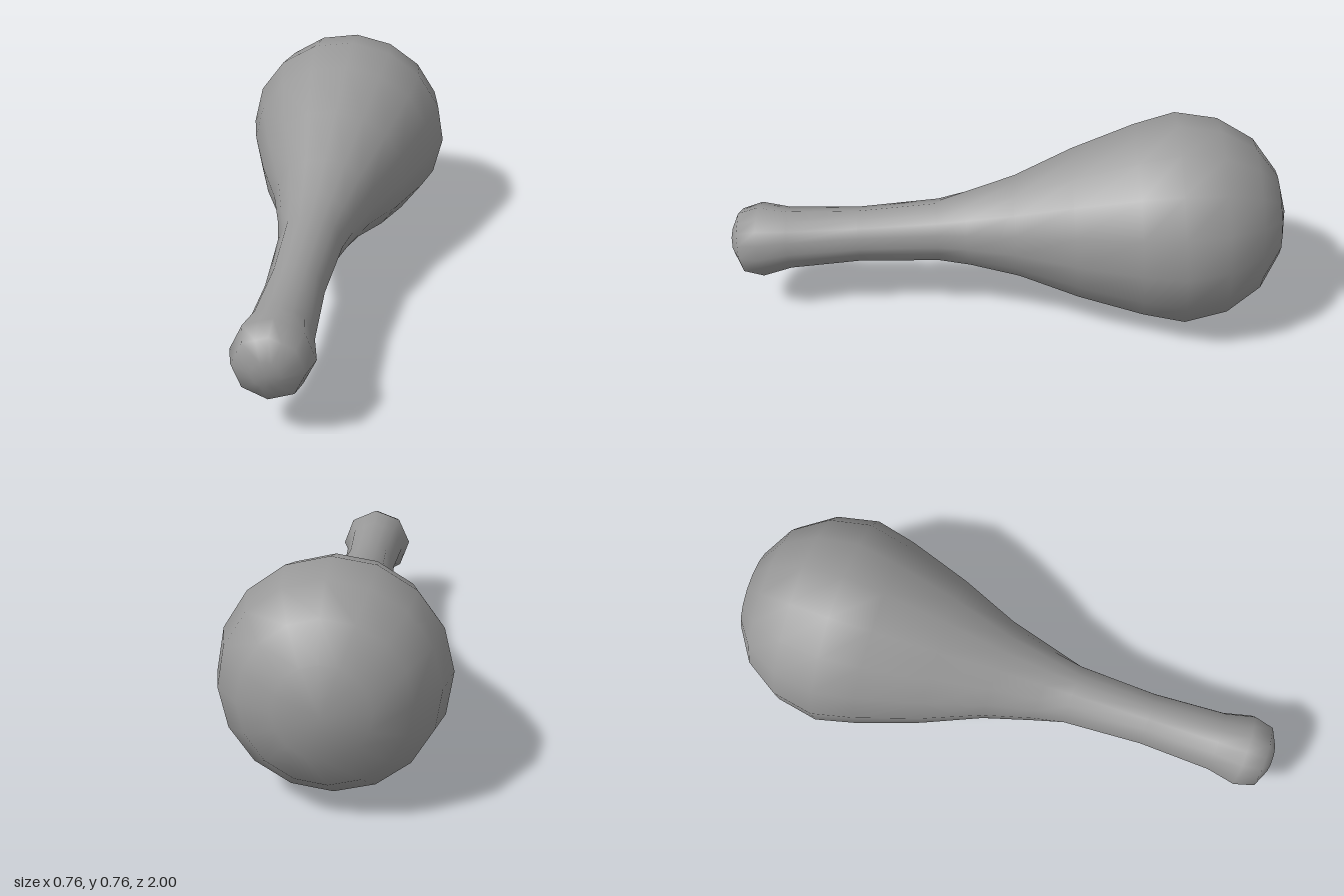
import * as THREE from 'three';

const SIDES = 16;
const TILT = 0.0734; // the bulb end sits higher than the knob

// [radius, distance along the axis] from the knob tip to the end of the bulb
const PROFILE = [
  [0, -1.003], [0.05, -0.998], [0.117, -0.965], [0.137, -0.892],
  [0.113, -0.79], [0.1, -0.53], [0.114, -0.245], [0.136, -0.135],
  [0.185, 0.04], [0.272, 0.25], [0.347, 0.477], [0.381, 0.622],
  [0.351, 0.772], [0.27, 0.896], [0.152, 0.973], [0, 1.003],
];

export function createModel() {
  const group = new THREE.Group();
  group.name = 'club';

  const geometry = new THREE.LatheGeometry(
    PROFILE.map(([r, d]) => new THREE.Vector2(r, d)), SIDES, 0.04);

  const { position, normal } = geometry.attributes;
  const chord = Math.cos(Math.PI / 8);
  for (let i = 0; i < position.count; i++) {
    const column = Math.floor(i / PROFILE.length);
    const ring = i % PROFILE.length;
    // The handle has eight sides: pull every other corner onto its chord
    if (column % 2 === 1 && position.getY(i) < -0.2) {
      position.setX(i, position.getX(i) * chord);
      position.setZ(i, position.getZ(i) * chord);
    }
    // Round both tips smoothly
    if (ring === 0) normal.setXYZ(i, 0, -1, 0);
    if (ring === PROFILE.length - 1) normal.setXYZ(i, 0, 1, 0);
  }

  // Lay the club down, knob to the front and bulb to the back
  geometry.rotateX(-Math.PI / 2 + TILT);
  geometry.translate(0, 0.334, 0);

  const body = new THREE.Mesh(geometry, new THREE.MeshStandardMaterial({ color: 0x999999 }));
  body.name = 'clubBody';
  group.add(body);
  return group;
}
